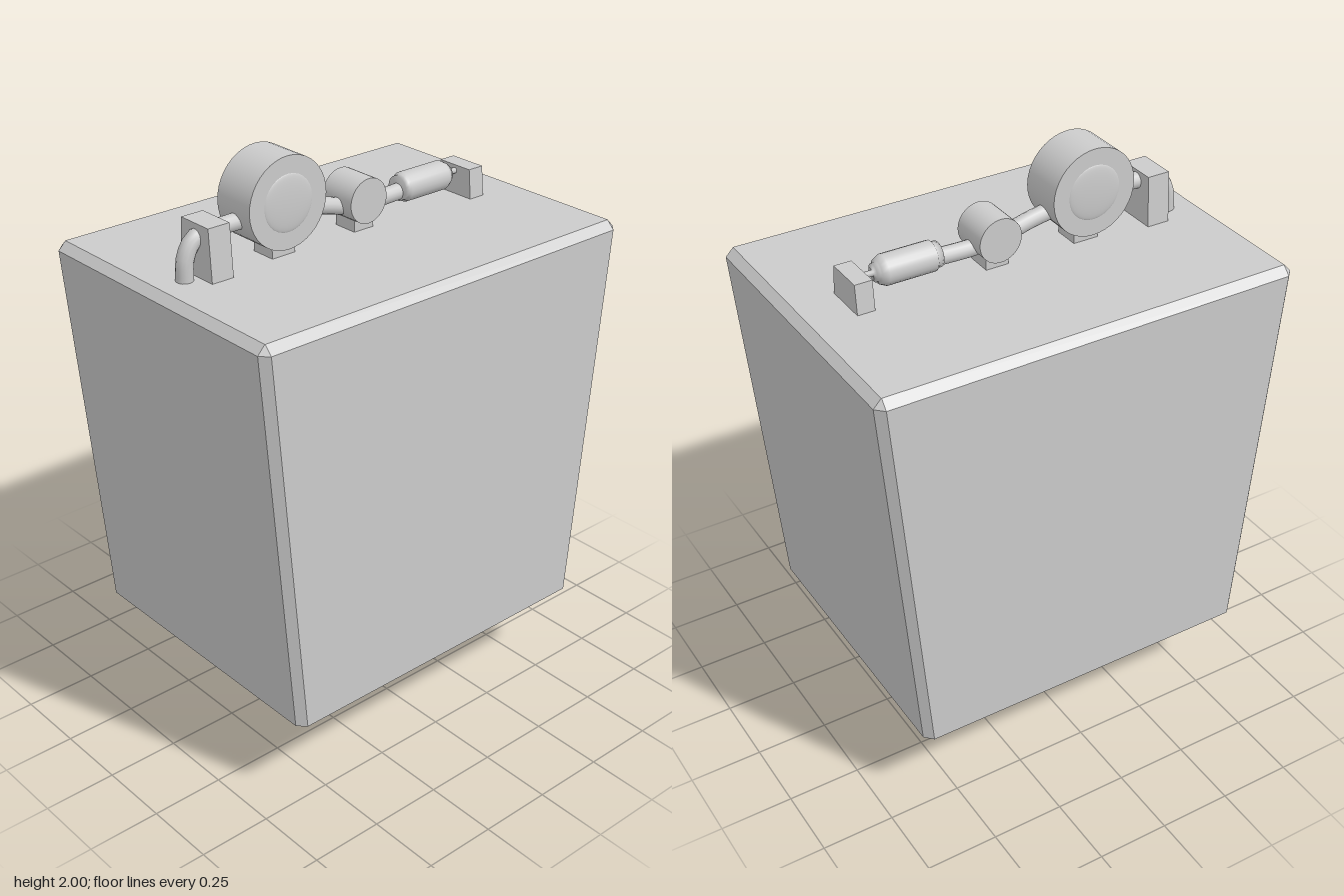
import * as THREE from 'three';

const smooth = new THREE.MeshStandardMaterial({ color: 0xcccccc, side: THREE.DoubleSide });
const flat = new THREE.MeshStandardMaterial({ color: 0xcccccc, flatShading: true, side: THREE.DoubleSide });

export function createModel() {
  const model = new THREE.Group();
  const add = (name, geometry, material = flat) => {
    const mesh = new THREE.Mesh(geometry, material);
    mesh.name = name;
    model.add(mesh);
    return mesh;
  };

  // Loft through rings of equal corner count, closed at both ends
  const loft = (rings) => {
    const n = rings[0].length, index = [];
    for (let r = 0; r < rings.length - 1; r++)
      for (let i = 0; i < n; i++) {
        const a = r * n + i, b = r * n + (i + 1) % n;
        index.push(a, a + n, b, b, a + n, b + n);
      }
    const last = (rings.length - 1) * n;
    for (let i = 1; i < n - 1; i++) index.push(0, i, i + 1, last, last + i + 1, last + i);
    const g = new THREE.BufferGeometry();
    g.setAttribute('position', new THREE.Float32BufferAttribute(rings.flat(2), 3));
    g.setIndex(index);
    g.computeVertexNormals();
    return g;
  };
  const ring = (y, w, d, c) => [
    [w, y, d - c], [w - c, y, d], [c - w, y, d], [-w, y, d - c],
    [-w, y, c - d], [c - w, y, -d], [w - c, y, -d], [w, y, c - d],
  ].reverse();

  // Tapered body with chamfered corners and top rim
  add('body', loft([
    ring(0.305, 0.62, 0.525, 0.027),
    ring(1.64, 0.737, 0.527, 0.027),
    ring(1.668, 0.71, 0.5, 0.001),
  ]));

  // Bracket block whose depth narrows away from the body
  const bracket = (name, x0, x1, yBase, yEnd, dBase, dEnd) => {
    const g = new THREE.BoxGeometry(x1 - x0, Math.abs(yEnd - yBase), 1);
    g.translate((x0 + x1) / 2, (yBase + yEnd) / 2, 0);
    const p = g.attributes.position;
    for (let i = 0; i < p.count; i++) {
      const t = (p.getY(i) - yBase) / (yEnd - yBase);
      p.setZ(i, Math.sign(p.getZ(i)) * THREE.MathUtils.lerp(dBase, dEnd, t));
    }
    return add(name, g);
  };
  const pipe = (name, points, radius) => add(name, new THREE.TubeGeometry(
    new THREE.CatmullRomCurve3(points.map(([x, y]) => new THREE.Vector3(x, y, 0))), 40, radius, 14), smooth);
  const drum = (name, x, y, r, depth) => {
    const mesh = add(name, new THREE.CylinderGeometry(r, r, depth, 40), smooth);
    mesh.rotation.x = Math.PI / 2;
    mesh.position.set(x, y, 0);
  };
  // Shallow dome on the front and back of a drum
  const lenses = (name, x, y, r, z, bulge) => {
    for (const s of [1, -1]) {
      const mesh = add(name, new THREE.SphereGeometry(r, 28, 10, 0, Math.PI * 2, 0, Math.PI / 2), smooth);
      mesh.scale.y = bulge / r;
      mesh.rotation.x = s * Math.PI / 2;
      mesh.position.set(x, y, s * z);
    }
  };

  // Top pipe, its brackets and drums
  pipe('topPipe', [[-0.615, 1.66], [-0.608, 1.74], [-0.575, 1.79], [-0.5, 1.803], [-0.3, 1.8],
    [-0.1, 1.775], [0.02, 1.745], [0.12, 1.735], [0.27, 1.738]], 0.028);
  bracket('topBracketRight', -0.57, -0.49, 1.665, 1.84, 0.078, 0.066);
  bracket('topBracketLeft', 0.505, 0.565, 1.665, 1.768, 0.078, 0.068);
  drum('largeDial', -0.275, 1.85, 0.15, 0.156);
  lenses('dialLens', -0.275, 1.85, 0.095, 0.076, 0.011);
  bracket('dialFoot', -0.315, -0.225, 1.665, 1.75, 0.045, 0.045);
  drum('smallDrum', 0.06, 1.77, 0.075, 0.136);
  bracket('drumFoot', 0.02, 0.1, 1.665, 1.73, 0.045, 0.045);

  // Stepped canister with a thin stem, turned about the pipe axis
  const canister = add('canister', new THREE.LatheGeometry([
    [0, 0.245], [0.042, 0.245], [0.042, 0.262], [0.05, 0.268], [0.05, 0.435], [0.04, 0.455],
    [0.03, 0.457], [0.03, 0.468], [0.01, 0.47], [0.01, 0.515], [0, 0.515],
  ].map(([r, h]) => new THREE.Vector2(r, h)), 20), smooth);
  canister.rotation.z = -Math.PI / 2;
  canister.position.y = 1.748;

  // Softly shaded knobs under the body
  const knob = (name, x, y, r, depth) => {
    const h = depth / 2;
    const mesh = add(name, new THREE.LatheGeometry([
      [0, -h], [r * 0.6, -h * 0.98], [r, -h * 0.85], [r, h * 0.85], [r * 0.6, h * 0.98], [0, h],
    ].map(([a, b]) => new THREE.Vector2(a, b)), 36), smooth);
    mesh.rotation.x = Math.PI / 2;
    mesh.position.set(x, y, 0);
  };
  knob('largeKnob', 0.03, 0.125, 0.123, 0.156);
  lenses('knobLens', 0.03, 0.13, 0.075, 0.074, 0.009);
  knob('middleKnob', -0.072, 0.24, 0.056, 0.11);
  knob('smallKnob', -0.308, 0.225, 0.058, 0.11);

  // Slanted struts holding the knobs
  const strut = (x0, y0, x1, y1, width) => {
    const mesh = add('knobStrut', new THREE.BoxGeometry(width, Math.hypot(x1 - x0, y1 - y0), 0.08));
    mesh.position.set((x0 + x1) / 2, (y0 + y1) / 2, 0);
    mesh.rotation.z = -Math.atan2(x1 - x0, y1 - y0);
  };
  strut(-0.305, 0.225, -0.267, 0.32, 0.045);
  strut(-0.05, 0.24, 0.06, 0.32, 0.05);
  strut(0.05, 0.18, 0.165, 0.32, 0.06);

  // Lower pipes and brackets
  pipe('lowerPipeRight', [[-0.5, 0.32], [-0.42, 0.285], [-0.36, 0.25], [-0.31, 0.23]], 0.022);
  pipe('lowerPipeLeft', [[0.02, 0.215], [0.12, 0.2], [0.2, 0.2], [0.34, 0.23], [0.5, 0.235]], 0.024);
  bracket('lowerBracketMiddle', 0.21, 0.335, 0.31, 0.132, 0.078, 0.062);
  bracket('lowerBracketLeft', 0.465, 0.545, 0.31, 0.175, 0.055, 0.043);

  return model;
}
